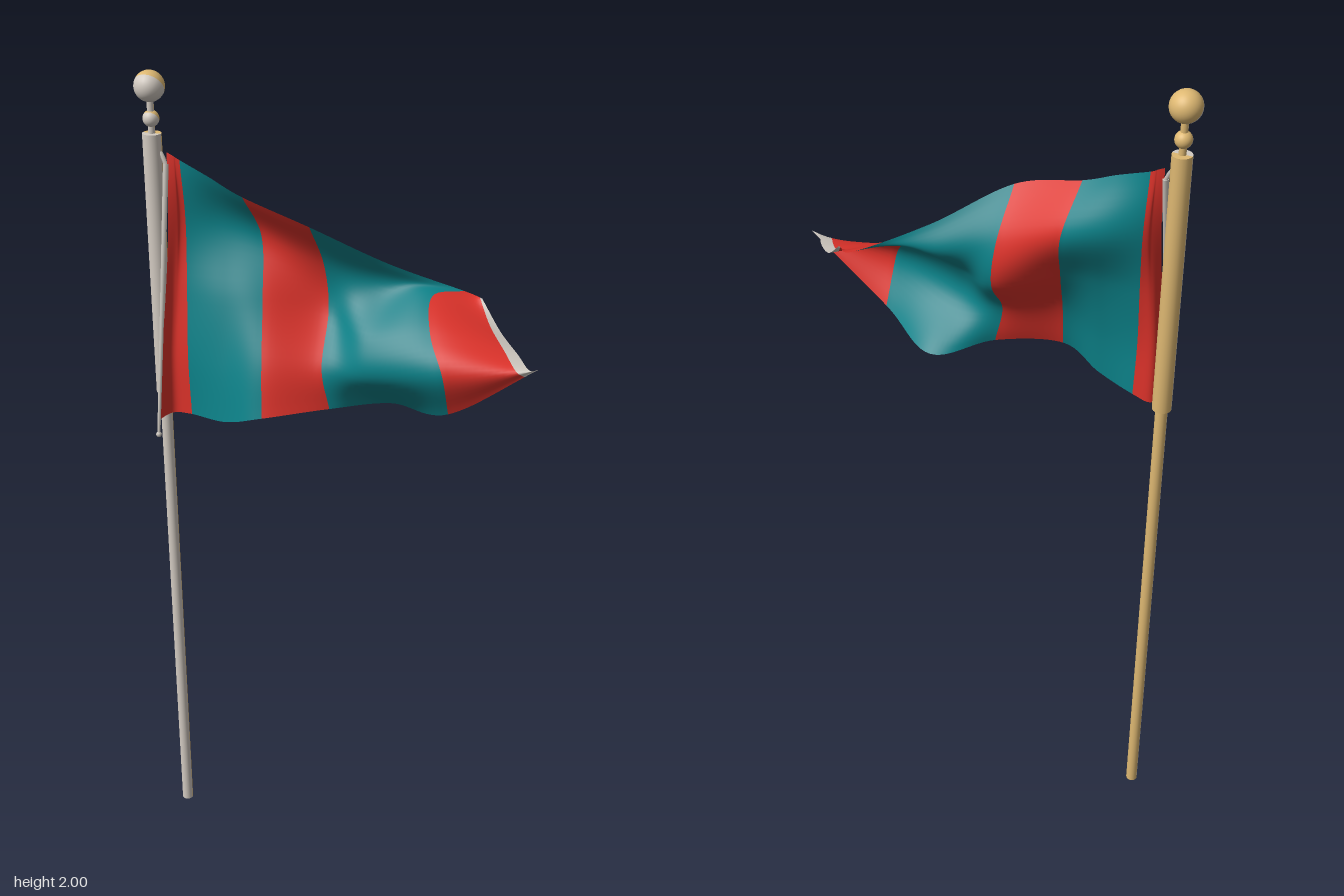
import * as THREE from 'three';

const mat = (name, color, side = THREE.FrontSide) => {
  const m = new THREE.MeshStandardMaterial({ color, side });
  m.name = name;
  return m;
};

const V = (p) => new THREE.Vector3(...p);

// Cross-sections of the cloth from hoist to fly, each running top to bottom
const stations = [
  [[-.405, 1.82, 0], [-.40, 1.66, .022], [-.402, 1.5, .052], [-.408, 1.35, .082], [-.412, 1.205, .108]],
  [[-.39, 1.813, 0], [-.385, 1.66, .006], [-.388, 1.5, .03], [-.395, 1.35, .045], [-.40, 1.2, .048]],
  [[-.375, 1.805, 0], [-.37, 1.66, -.008], [-.36, 1.5, .025], [-.355, 1.35, .048], [-.35, 1.205, .052]],
  [[-.30, 1.775, .01], [-.29, 1.65, -.036], [-.27, 1.5, .025], [-.26, 1.35, .065], [-.25, 1.215, .088]],
  [[-.22, 1.74, .018], [-.20, 1.63, -.046], [-.18, 1.5, .01], [-.16, 1.37, .08], [-.15, 1.25, .114]],
  [[-.06, 1.69, .026], [-.05, 1.58, -.045], [-.04, 1.47, -.048], [-.03, 1.36, .035], [-.01, 1.262, .04]],
  [[.10, 1.595, -.055], [.08, 1.53, -.07], [.07, 1.44, .025], [.09, 1.35, .05], [.11, 1.25, -.06]],
  [[.258, 1.523, -.128], [.20, 1.525, -.068], [.22, 1.47, .02], [.265, 1.395, .076], [.27, 1.285, .03]],
  [[.305, 1.516, -.112], [.36, 1.46, -.068], [.415, 1.435, -.008], [.452, 1.425, .045], [.474, 1.43, .047]],
];
const smooth = (pts) => new THREE.CatmullRomCurve3(pts, false, 'catmullrom', 0.5);
const rows = [0, 1, 2, 3, 4].map((j) => smooth(stations.map((s) => V(s[j]))));

// Patch of cloth between two station numbers
function clothPatch(from, to) {
  const nu = Math.max(3, Math.ceil((to - from) * 12)), nv = 32;
  const pos = [], idx = [];
  for (let i = 0; i <= nu; i++) {
    const u = (from + (to - from) * i / nu) / (stations.length - 1);
    const section = smooth(rows.map((r) => r.getPoint(u)));
    for (let j = 0; j <= nv; j++) pos.push(...section.getPoint(j / nv).toArray());
  }
  for (let i = 0; i < nu; i++) {
    for (let j = 0; j < nv; j++) {
      const a = i * (nv + 1) + j, b = a + nv + 1;
      idx.push(a, a + 1, b, b, a + 1, b + 1);
    }
  }
  const g = new THREE.BufferGeometry();
  g.setAttribute('position', new THREE.Float32BufferAttribute(pos, 3));
  g.setIndex(idx);
  g.computeVertexNormals();
  return g;
}

export function createModel() {
  const model = new THREE.Group();
  model.name = 'flagOnPole';
  const red = mat('red cloth', 0xdc322a, THREE.DoubleSide);
  const teal = mat('teal cloth', 0x0c8289, THREE.DoubleSide);
  const trim = mat('grey trim', 0xcac4bc, THREE.DoubleSide);
  const grey = mat('grey pole', 0xd2cac1);
  const gold = mat('gold pole', 0xdeb872);

  const add = (parent, name, geo, material) => {
    const m = new THREE.Mesh(geo, material);
    m.name = name;
    parent.add(m);
    return m;
  };

  // Pole, grey on its front half and gold on its back half
  const pole = new THREE.Group();
  pole.name = 'pole';
  pole.position.set(-0.44, 0, -0.003);
  model.add(pole);
  const halves = [['Front', grey, -Math.PI / 2], ['Back', gold, Math.PI / 2]];
  const shafts = [
    ['lowerShaft', 0.014, 0.014, 0, 1.24],
    ['upperShaft', 0.022, 0.022, 1.23, 1.86],
    ['finialNeck', 0.008, 0.008, 1.86, 1.935],
  ];
  for (const [side, material, start] of halves) {
    for (const [name, rTop, rBottom, y0, y1] of shafts) {
      const g = new THREE.CylinderGeometry(rTop, rBottom, y1 - y0, 10, 1, false, start, Math.PI);
      add(pole, name + side, g, material).position.y = (y0 + y1) / 2;
    }
    // Finial balls, their colour seam tilted so gold caps the top
    const tilt = side === 'Front' ? 2.15 : 2.15 - Math.PI;
    for (const [name, r, y] of [['smallBall', 0.019, 1.893], ['topBall', 0.035, 1.965]]) {
      const g = new THREE.SphereGeometry(r, 24, 10, 0, Math.PI * 2, 0, Math.PI / 2);
      const ball = add(pole, name + side, g, material);
      ball.position.y = y;
      ball.rotation.x = tilt;
    }
  }

  // Striped cloth with a grey fly hem
  const flag = new THREE.Group();
  flag.name = 'flag';
  model.add(flag);
  const stripes = [
    ['hoistStripe', 0, 2, red], ['firstTealStripe', 2, 4, teal], ['middleRedStripe', 4, 5, red],
    ['secondTealStripe', 5, 7, teal], ['flyRedStripe', 7, 7.85, red], ['flyHem', 7.85, 8, trim],
  ];
  for (const [name, from, to, material] of stripes) add(flag, name, clothPatch(from, to), material);

  // Tapering rope along the hoist, with a knotted end and a tie to the pole
  const rope = add(flag, 'hoistRope', new THREE.CylinderGeometry(0.007, 0.004, 0.63, 8), trim);
  rope.position.set(-.407, 1.485, .062);
  rope.rotation.x = -0.19;
  const knot = add(flag, 'ropeEnd', new THREE.SphereGeometry(0.007, 10, 8), trim);
  knot.position.set(-.407, 1.175, .121);
  const tie = smooth([[-.43, 1.825, -.002], [-.418, 1.815, 0], [-.406, 1.79, .003]].map(V));
  add(flag, 'topTie', new THREE.TubeGeometry(tie, 6, 0.005, 6), trim);

  return model;
}
